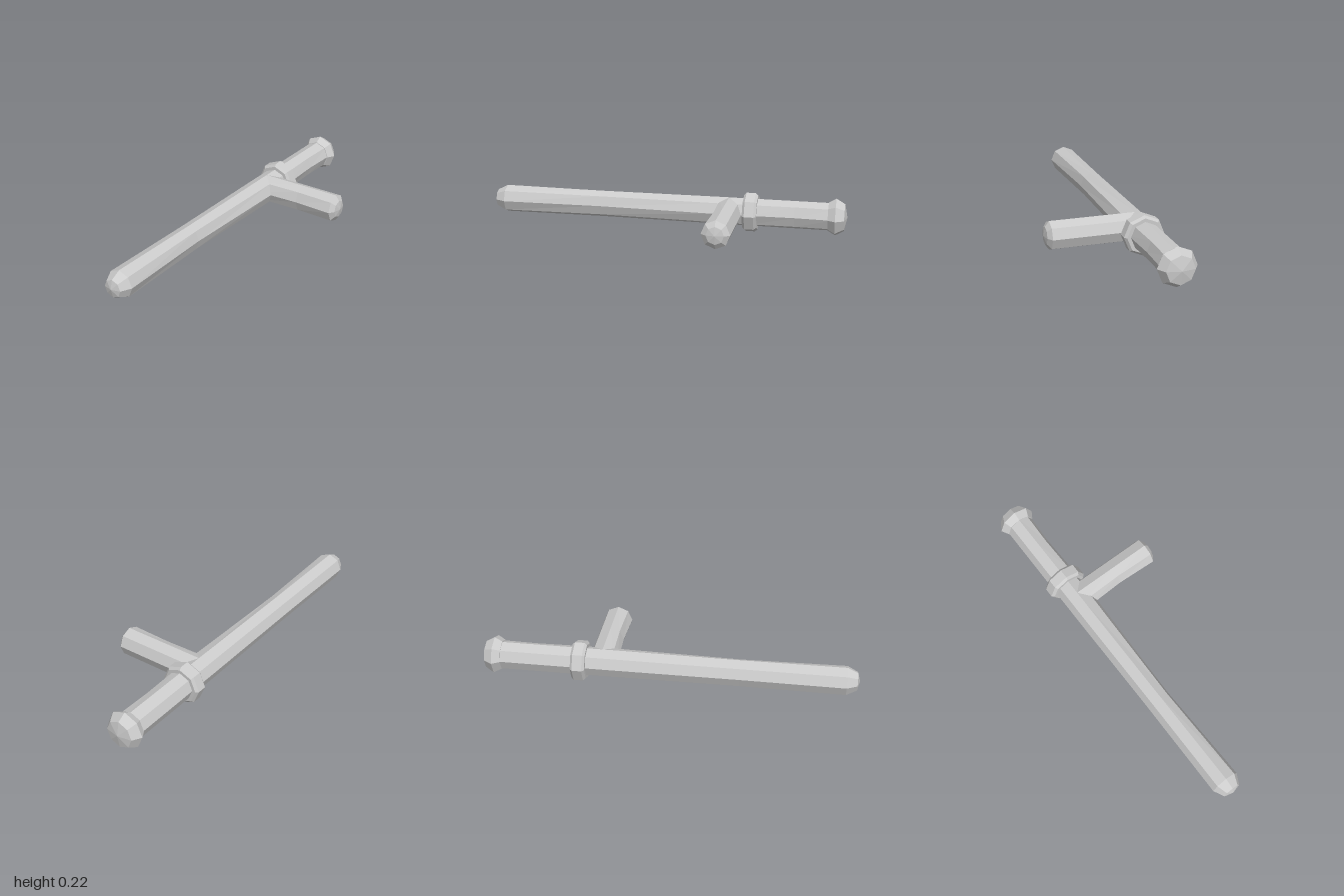
import * as THREE from 'three';

const material = new THREE.MeshStandardMaterial({ color: 0xcccccc, flatShading: true });

// Eight-sided turned part; profile is [radius, position along the axis]
function turned(name, profile) {
  const points = profile.map(([r, h]) => new THREE.Vector2(r, h));
  const mesh = new THREE.Mesh(new THREE.LatheGeometry(points, 8), material);
  mesh.name = name;
  return mesh;
}

// Presses in the side of a rod facing +axis, around a position along its length
function dent(mesh, axis, centre, reach, depth) {
  const p = mesh.geometry.attributes.position;
  for (let i = 0; i < p.count; i++) {
    const side = axis === 'x' ? p.getX(i) : p.getZ(i);
    const near = 1 - Math.abs(p.getY(i) - centre) / reach;
    if (side < 0.02 || near <= 0) continue;
    const moved = side * (1 - depth * near);
    if (axis === 'x') p.setX(i, moved);
    else p.setZ(i, moved);
  }
  mesh.geometry.computeVertexNormals();
}

export function createModel() {
  const model = new THREE.Group();
  model.name = 'sideHandleBaton';

  // Long body, running back to front along z
  const body = new THREE.Group();
  body.name = 'body';
  body.position.set(-0.19, 0.11, 0);
  body.rotation.x = Math.PI / 2;
  model.add(body);

  const shaft = turned('shaft', [
    [0, -0.92], [0.077, -0.92], [0.077, -0.72], [0.077, -0.48], [0.077, -0.3],
    [0.074, 0.37], [0.077, 0.925], [0.049, 0.98], [0, 0.993],
  ]);
  dent(shaft, 'x', 0.37, 0.5, 0.18);
  dent(shaft, 'x', -0.72, 0.15, 0.1);

  const collar = turned('collar', [
    [0.07, -0.515], [0.096, -0.515], [0.109, -0.502], [0.109, -0.451],
    [0.096, -0.438], [0.07, -0.438],
  ]);

  const pommel = turned('pommel', [
    [0, -1], [0.075, -0.985], [0.103, -0.938], [0.08, -0.898], [0, -0.898],
  ]);
  body.add(shaft, collar, pommel);

  // Side handle, pointing to the left from the shaft axis
  const handle = turned('sideHandle', [
    [0, 0], [0.077, 0], [0.077, 0.24], [0.077, 0.458], [0.048, 0.479], [0, 0.488],
  ]);
  dent(handle, 'z', 0.24, 0.2, 0.13);
  handle.position.set(-0.19, 0.11, -0.355);
  handle.rotation.z = -Math.PI / 2;
  model.add(handle);

  return model;
}
